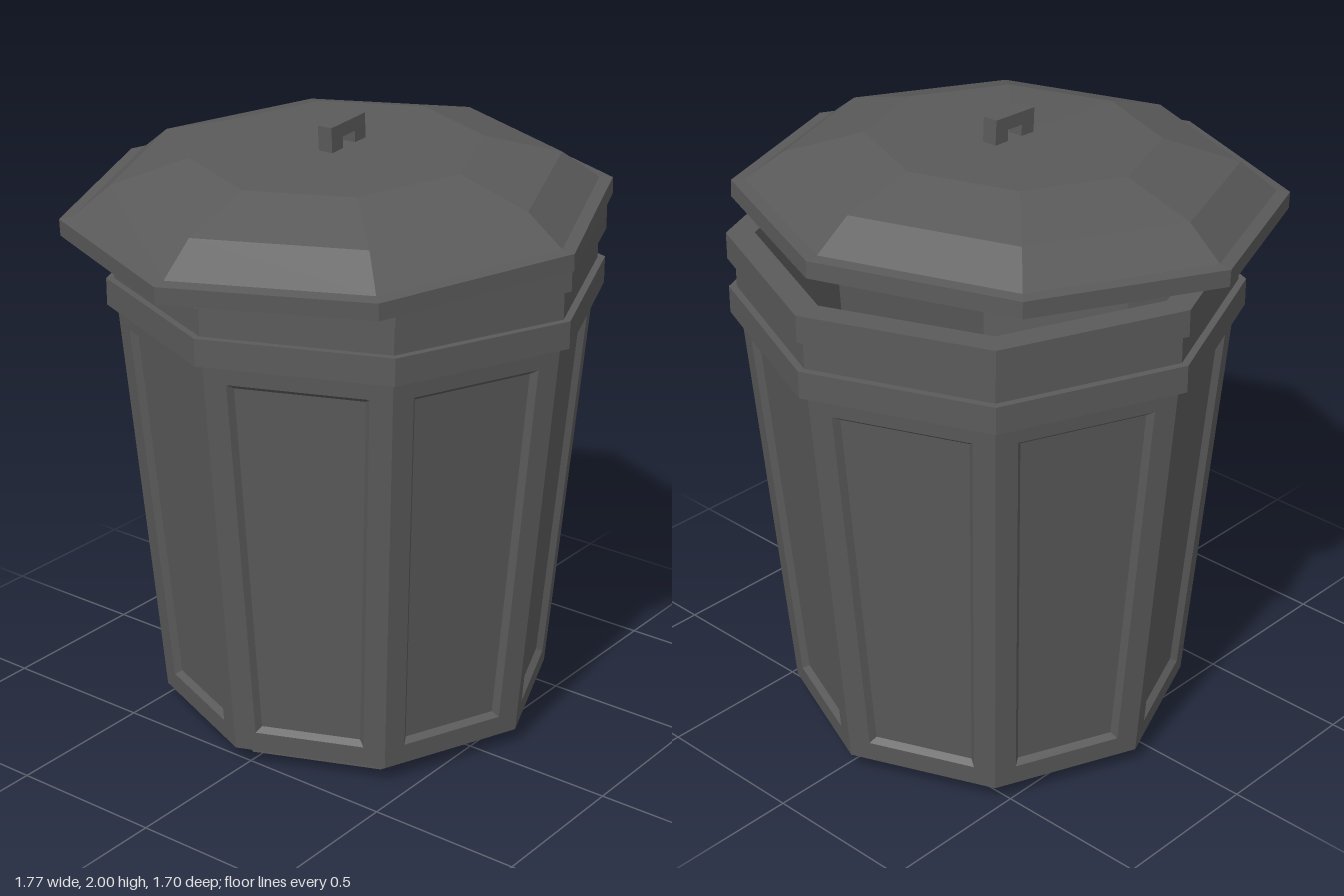
import * as THREE from 'three';

const SIDES = 8;
const grey = new THREE.MeshStandardMaterial({ color: 0x5a5a5b, flatShading: true });
grey.name = 'dark grey';

// Eight-sided ring or shell from [radius, height] pairs; corners lie on the x and z axes
function octagonShell(name, profile) {
  const points = profile.map(([r, y]) => new THREE.Vector2(r, y));
  const mesh = new THREE.Mesh(new THREE.LatheGeometry(points, SIDES), grey);
  mesh.name = name;
  return mesh;
}

function box(name, w, h, d, x, y, z) {
  const mesh = new THREE.Mesh(new THREE.BoxGeometry(w, h, d), grey);
  mesh.name = name;
  mesh.position.set(x, y, z);
  return mesh;
}

// One tapered side with a bevelled, sunken panel, facing +z
const BOTTOM = 0.055, TOP = 1.4;
function panelledSideGeometry() {
  const half = Math.PI / SIDES;
  const radius = (y) => THREE.MathUtils.mapLinear(y, BOTTOM, TOP, 0.635, 0.755);
  // Four corners of a loop on the side, inset from its edges and sunk by depth
  const loop = (y0, y1, inset, depth) =>
    [[y0, -1], [y0, 1], [y1, 1], [y1, -1]].map(([y, s]) => [
      s * (radius(y) * Math.sin(half) - inset), y, radius(y) * Math.cos(half) - depth,
    ]);
  const edge = loop(BOTTOM, TOP, 0, 0);
  const frame = loop(0.122, 1.337, 0.07, 0);
  const panel = loop(0.138, 1.321, 0.086, 0.02);
  const positions = [];
  const quad = (a, b, c, d) => positions.push(...a, ...b, ...c, ...a, ...c, ...d);
  for (const [outer, inner] of [[edge, frame], [frame, panel]]) {
    for (let i = 0; i < 4; i++) {
      const j = (i + 1) % 4;
      quad(outer[i], outer[j], inner[j], inner[i]);
    }
  }
  quad(...panel);
  const geometry = new THREE.BufferGeometry();
  geometry.setAttribute('position', new THREE.Float32BufferAttribute(positions, 3));
  geometry.computeVertexNormals();
  return geometry;
}

function createCan() {
  const can = new THREE.Group();
  can.name = 'can';
  can.position.set(0.097, 0, -0.029);

  can.add(octagonShell('foot', [[0, 0], [0.55, 0], [0.55, BOTTOM], [0.635, BOTTOM]]));

  const side = panelledSideGeometry();
  for (let i = 0; i < SIDES; i++) {
    const mesh = new THREE.Mesh(side, grey);
    mesh.name = 'panelledSide';
    mesh.rotation.y = ((i + 0.5) * 2 * Math.PI) / SIDES;
    can.add(mesh);
  }

  // Two raised bands with a neck between them, then the lip and hollow inside
  can.add(octagonShell('rimBands', [
    [0.755, TOP], [0.787, TOP], [0.787, 1.487], [0.763, 1.487],
    [0.763, 1.58], [0.787, 1.58], [0.787, 1.665], [0.7, 1.665],
  ]));
  can.add(octagonShell('inside', [[0.7, 1.665], [0.58, 0.1], [0, 0.1]]));
  return can;
}

function createLid() {
  const lid = new THREE.Group();
  lid.name = 'lid';
  lid.position.set(-0.036, 1.701, 0);
  lid.rotation.z = 0.053;

  lid.add(octagonShell('lidDome', [
    [0.8, 0], [0.849, 0], [0.849, 0.053], [0.807, 0.058],
    [0.69, 0.148], [0.45, 0.217], [0, 0.219],
  ]));
  lid.add(octagonShell('lidUnderside', [
    [0, 0.19], [0.44, 0.188], [0.67, 0.12], [0.8, 0.04], [0.8, 0],
  ]));

  // Bracket handle, turned very slightly
  const handle = new THREE.Group();
  handle.name = 'handle';
  handle.position.set(0.025, 0.21, 0);
  handle.rotation.y = 0.03;
  handle.add(box('handleBar', 0.172, 0.042, 0.05, 0, 0.066, 0));
  for (const s of [-1, 1]) handle.add(box('handleLeg', 0.055, 0.045, 0.05, s * 0.0585, 0.0225, 0));
  lid.add(handle);
  return lid;
}

export function createModel() {
  const model = new THREE.Group();
  model.name = 'trashCan';
  model.add(createCan(), createLid());
  return model;
}
